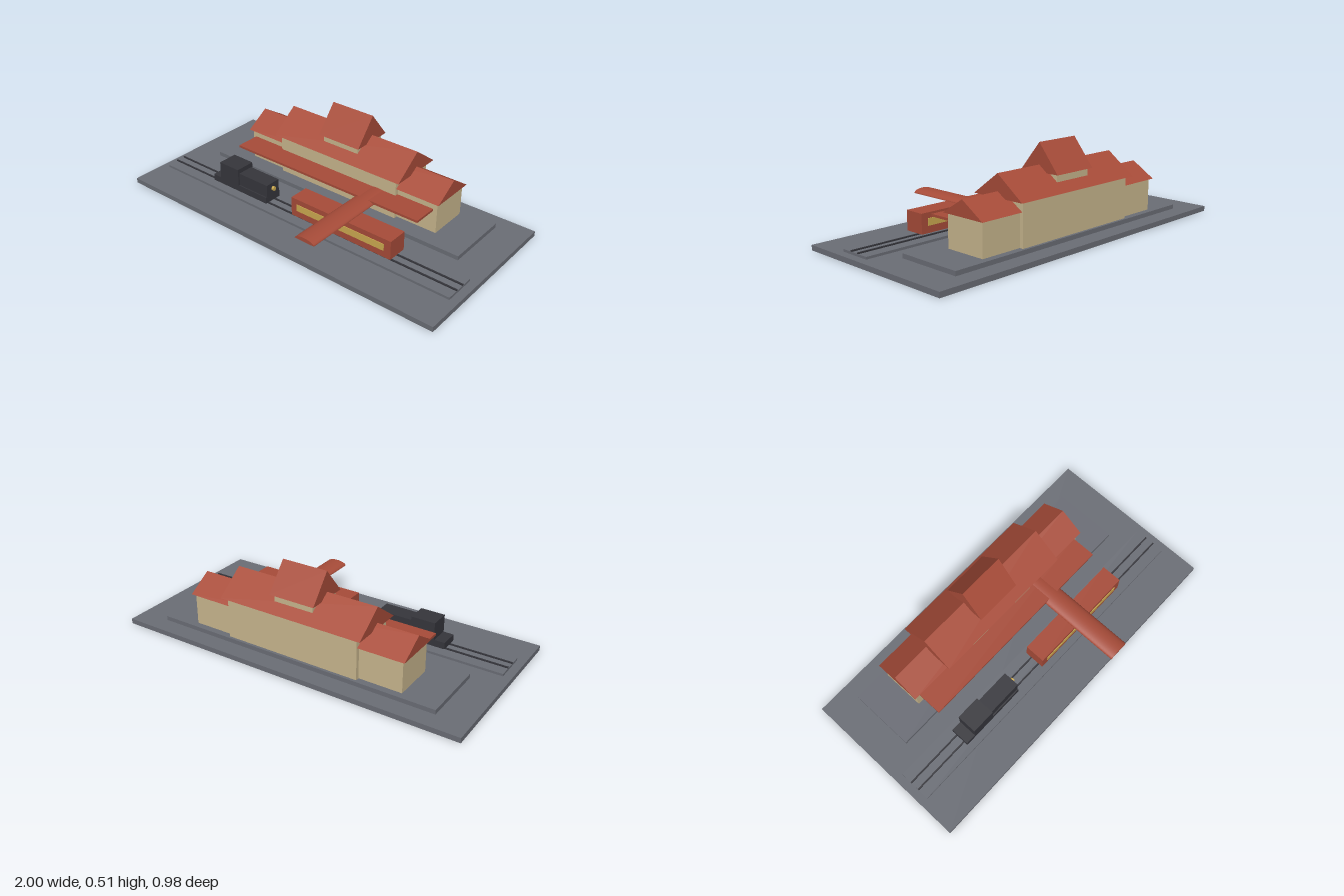
import * as THREE from 'three';

const mat = (name, color) => {
  const m = new THREE.MeshStandardMaterial({ color });
  m.name = name;
  return m;
};

export function createModel() {
  const stone = mat('stone grey', 0x6b6e76);
  const plaster = mat('cream plaster', 0xc9b78e);
  const tile = mat('red tile', 0xa84c39);
  const iron = mat('dark iron', 0x36363c);
  const glow = mat('yellow glass', 0xcdaa50);
  const root = new THREE.Group();
  root.name = 'railwayStation';

  const add = (parent, name, geometry, material) => {
    const mesh = new THREE.Mesh(geometry, material);
    mesh.name = name;
    parent.add(mesh);
    return mesh;
  };
  // Box given by its limits on each axis
  const box = (parent, name, material, [x0, x1], [y0, y1], [z0, z1]) => {
    const mesh = add(parent, name, new THREE.BoxGeometry(x1 - x0, y1 - y0, z1 - z0), material);
    mesh.position.set((x0 + x1) / 2, (y0 + y1) / 2, (z0 + z1) / 2);
    return mesh;
  };
  // Solid gable roof with its ridge along x
  const gable = (parent, name, halfLength, halfDepth, y0, y1, z) => {
    const shape = new THREE.Shape();
    shape.moveTo(-halfDepth, y0);
    shape.lineTo(halfDepth, y0);
    shape.lineTo(0, y1);
    shape.closePath();
    const g = new THREE.ExtrudeGeometry(shape, { depth: halfLength * 2, bevelEnabled: false });
    g.translate(0, 0, -halfLength).rotateY(Math.PI / 2);
    add(parent, name, g, tile).position.z = z;
  };
  const group = (name) => {
    const g = new THREE.Group();
    g.name = name;
    root.add(g);
    return g;
  };

  // Ground, plinth and track
  const ground = group('ground');
  box(ground, 'groundSlab', stone, [-1, 1], [0, 0.028], [-0.49, 0.466]);
  box(ground, 'stationPlinth', stone, [-0.825, 0.825], [0.028, 0.052], [-0.392, -0.023]);
  box(ground, 'trackBed', stone, [-0.955, 0.955], [0.028, 0.041], [0.08, 0.262]);
  for (const z of [0.145, 0.197])
    box(ground, 'rail', iron, [-0.955, 0.955], [0.041, 0.048], [z - 0.004, z + 0.004]);

  // Station hall with lower wings and a raised roof lantern
  const hall = group('stationHall');
  const ridge = -0.238;
  box(hall, 'hallWalls', plaster, [-0.39, 0.39], [0.052, 0.28], [ridge - 0.139, ridge + 0.139]);
  box(hall, 'wingWalls', plaster, [-0.63, 0.63], [0.052, 0.229], [ridge - 0.117, ridge + 0.117]);
  box(hall, 'lanternWalls', plaster, [-0.115, 0.115], [0.28, 0.362], [ridge - 0.104, ridge + 0.104]);
  gable(hall, 'wingRoof', 0.645, 0.134, 0.228, 0.313, ridge);
  gable(hall, 'hallRoof', 0.42, 0.162, 0.28, 0.4, ridge);
  gable(hall, 'lanternRoof', 0.132, 0.122, 0.362, 0.513, ridge);

  // Platform canopy with its lamp strip
  const canopy = group('canopy');
  box(canopy, 'canopyRoof', tile, [-0.608, 0.608], [0.178, 0.191], [-0.117, 0.023]);
  const strip = add(canopy, 'lampStrip', new THREE.CylinderGeometry(0.009, 0.009, 0.96, 8), glow);
  strip.rotation.z = Math.PI / 2;
  strip.position.set(0, 0.177, -0.045);

  // Rounded footbridge roof crossing the track
  const arch = new THREE.Shape();
  arch.absellipse(0, 0, 0.06, 0.022, 0, Math.PI, false);
  arch.closePath();
  const vault = add(canopy, 'crossingRoof',
    new THREE.ExtrudeGeometry(arch, { depth: 0.59, bevelEnabled: false, curveSegments: 16 }), tile);
  vault.position.set(0.279, 0.172, -0.1);

  // Passenger carriage with a window band on each side
  const carriage = group('carriage');
  box(carriage, 'carriageBody', tile, [-0.033, 0.597], [0.066, 0.172], [0.114, 0.228]);
  for (const z of [0.1125, 0.2295])
    box(carriage, 'windowBand', glow, [0.005, 0.557], [0.104, 0.142], [z - 0.002, z + 0.002]);

  // Locomotive
  const loco = group('locomotive');
  box(loco, 'chassis', iron, [-0.615, -0.22], [0.053, 0.09], [0.118, 0.224]);
  box(loco, 'cab', iron, [-0.556, -0.42], [0.09, 0.188], [0.115, 0.227]);
  box(loco, 'boiler', iron, [-0.42, -0.217], [0.09, 0.162], [0.125, 0.217]);
  const lamp = add(loco, 'headlamp', new THREE.CylinderGeometry(0.012, 0.012, 0.014, 16), glow);
  lamp.rotation.z = Math.PI / 2;
  lamp.position.set(-0.211, 0.128, 0.171);

  return root;
}
